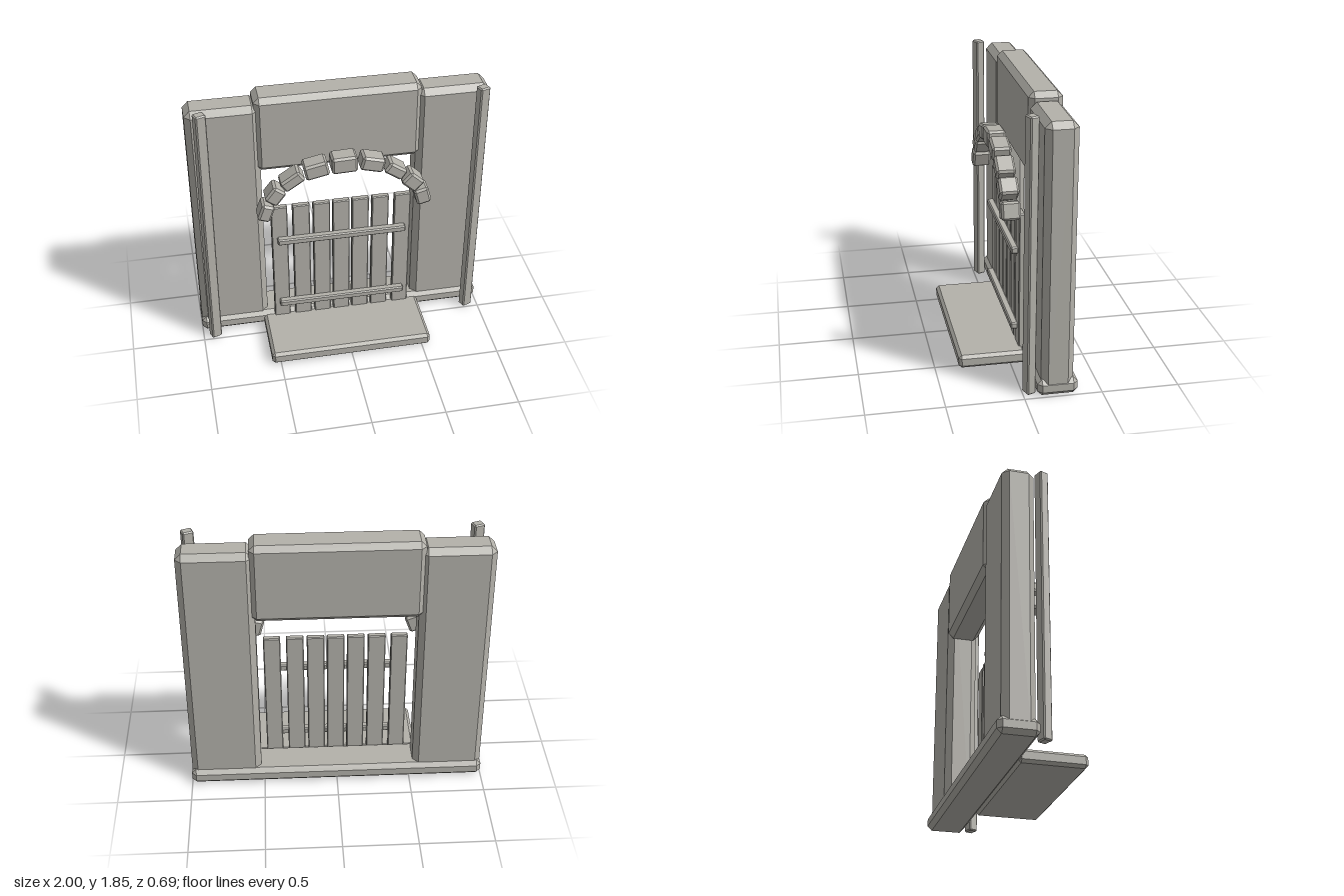
import * as THREE from 'three';
import { ConvexGeometry } from 'three/addons/geometries/ConvexGeometry.js';

// Box with flat chamfers on every edge: three shrunken rectangles per corner, hulled.
function chamferBox(w, h, d, c) {
  const pts = [];
  const [x, y, z] = [w / 2, h / 2, d / 2];
  for (const i of [-1, 1]) for (const j of [-1, 1]) for (const k of [-1, 1]) {
    pts.push(
      new THREE.Vector3(i * x, j * (y - c), k * (z - c)),
      new THREE.Vector3(i * (x - c), j * y, k * (z - c)),
      new THREE.Vector3(i * (x - c), j * (y - c), k * z)
    );
  }
  return new ConvexGeometry(pts);
}

export function createModel() {
  const group = new THREE.Group();
  const stone = new THREE.MeshStandardMaterial({ color: 0xb3b1aa });
  stone.name = 'warmGrey';

  const addBox = (name, size, centre, chamfer) => {
    const mesh = new THREE.Mesh(chamferBox(...size, chamfer), stone);
    mesh.name = name;
    mesh.position.set(...centre);
    group.add(mesh);
    return mesh;
  };
  // Box given by its extents along each axis
  const addSpan = (name, [x0, x1], [y0, y1], [z0, z1], chamfer) =>
    addBox(name, [x1 - x0, y1 - y0, z1 - z0],
      [(x0 + x1) / 2, (y0 + y1) / 2, (z0 + z1) / 2], chamfer);

  // Base and front step
  addSpan('base', [-1, 1], [0.005, 0.115], [-0.345, -0.085], 0.03);
  addSpan('frontStep', [-0.56, 0.556], [0.005, 0.095], [-0.1, 0.345], 0.02);

  // Wall pillars and lintel block
  addSpan('rightWall', [-0.997, -0.525], [0.01, 1.8], [-0.317, -0.11], 0.04);
  addSpan('leftWall', [0.52, 0.997], [0.01, 1.8], [-0.317, -0.11], 0.04);
  addSpan('lintel', [-0.555, 0.545], [1.305, 1.852], [-0.325, -0.107], 0.036);

  // Slim leaning posts at the outer front corners
  for (const [name, x] of [['rightPost', -0.91], ['leftPost', 0.922]]) {
    const post = addBox(name, [0.073, 1.832, 0.062], [x, 0.919, -0.043], 0.008);
    post.rotation.set(0, 0.36, -0.006, 'ZYX');
  }

  // Gate planks
  const planks = [
    [-0.482, -0.37], [-0.335, -0.217], [-0.195, -0.078], [-0.06, 0.057],
    [0.073, 0.19], [0.211, 0.328], [0.366, 0.48]
  ];
  for (const span of planks) addSpan('gatePlank', span, [0.06, 1.037], [-0.105, -0.065], 0.006);

  // Gate rails
  for (const y of [0.227, 0.771]) {
    addSpan('gateRail', [-0.446, 0.441], [y - 0.023, y + 0.023], [-0.07, -0.02], 0.008);
  }

  // Arch stones: x, y, length along the arch, thickness, angle in degrees
  const stones = [
    [-0.525, 1.09, 0.123, 0.088, 70], [-0.46, 1.217, 0.12, 0.1, 53],
    [-0.345, 1.32, 0.155, 0.085, 34], [-0.185, 1.385, 0.16, 0.107, 12],
    [0, 1.407, 0.17, 0.118, 2], [0.187, 1.388, 0.157, 0.1, -15],
    [0.342, 1.316, 0.142, 0.085, -35], [0.46, 1.214, 0.125, 0.105, -43],
    [0.53, 1.092, 0.12, 0.1, -75]
  ];
  for (const [x, y, length, thick, angle] of stones) {
    const block = addBox('archStone', [length, thick, 0.125], [x, y, 0.007], 0.014);
    block.rotation.z = THREE.MathUtils.degToRad(angle);
  }

  return group;
}
